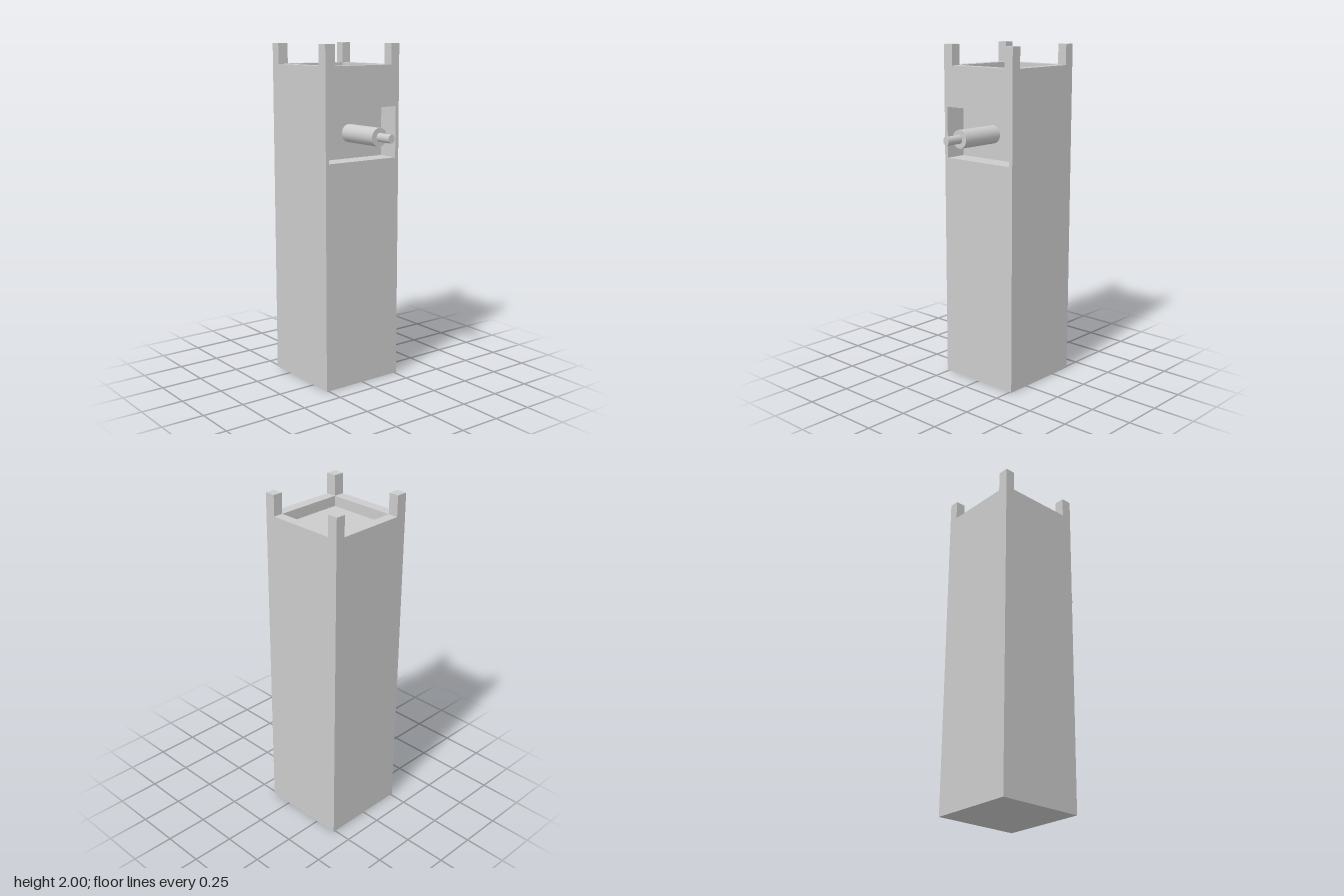
import * as THREE from 'three';

export function createModel() {
  const model = new THREE.Group();
  const material = new THREE.MeshStandardMaterial({ color: 0xcccccc });
  const add = (name, geometry) => {
    const mesh = new THREE.Mesh(geometry, material);
    mesh.name = name;
    model.add(mesh);
    return mesh;
  };
  // Box given by its limits on each axis
  const box = (name, [x0, x1], [y0, y1], [z0, z1]) =>
    add(name, new THREE.BoxGeometry(x1 - x0, y1 - y0, z1 - z0)
      .translate((x0 + x1) / 2, (y0 + y1) / 2, (z0 + z1) / 2));
  const corners = (a0, a1, b0, b1) =>
    [[a0, b0], [a1, b0], [a1, b1], [a0, b1]].map(([a, b]) => new THREE.Vector2(a, b));
  // Rectangular plate with a rectangular hole
  const frame = (outer, hole, depth) => {
    const shape = new THREE.Shape(corners(...outer));
    shape.holes.push(new THREE.Path(corners(...hole).reverse()));
    return new THREE.ExtrudeGeometry(shape, { depth, bevelEnabled: false });
  };

  const left = 0.137, right = -0.39, half = 0.263;
  const roof = 1.82, rimTop = 1.88, top = 2;
  const innerX = [-0.33, 0.075], innerZ = [-0.205, 0.198];
  const recessX = 0.005, gunY = 1.488;

  // Tower: solid rear part and a side part pierced by the gun opening
  box('towerBody', [right, recessX], [0, roof], [-half, half]);
  add('gunOpeningWall', frame([-half, half, 0, roof], [-0.24, 0.24, 1.34, 1.64], left - recessX)
    .rotateY(Math.PI / 2).translate(recessX, 0, 0));

  // Raised rim around the sunken roof
  add('roofRim', frame([right, left, -half, half],
    [innerX[0], innerX[1], -innerZ[1], -innerZ[0]], rimTop - roof)
    .rotateX(-Math.PI / 2).translate(0, roof, 0));

  // Corner posts
  for (const x of [[right, innerX[0]], [innerX[1], left]])
    for (const z of [[-half, innerZ[0]], [innerZ[1], half]])
      box('cornerPost', x, [rimTop, top], z);

  // Gun barrel and its narrower, slightly oval tip
  const rod = (name, radius, x0, x1, widthScale) =>
    add(name, new THREE.CylinderGeometry(radius, radius, x1 - x0, 32)
      .rotateZ(-Math.PI / 2).scale(1, 1, widthScale)
      .translate((x0 + x1) / 2, gunY, 0));
  rod('gunBarrel', 0.053, recessX, 0.285, 1);
  rod('gunTip', 0.025, 0.285, 0.39, 0.84);

  return model;
}
